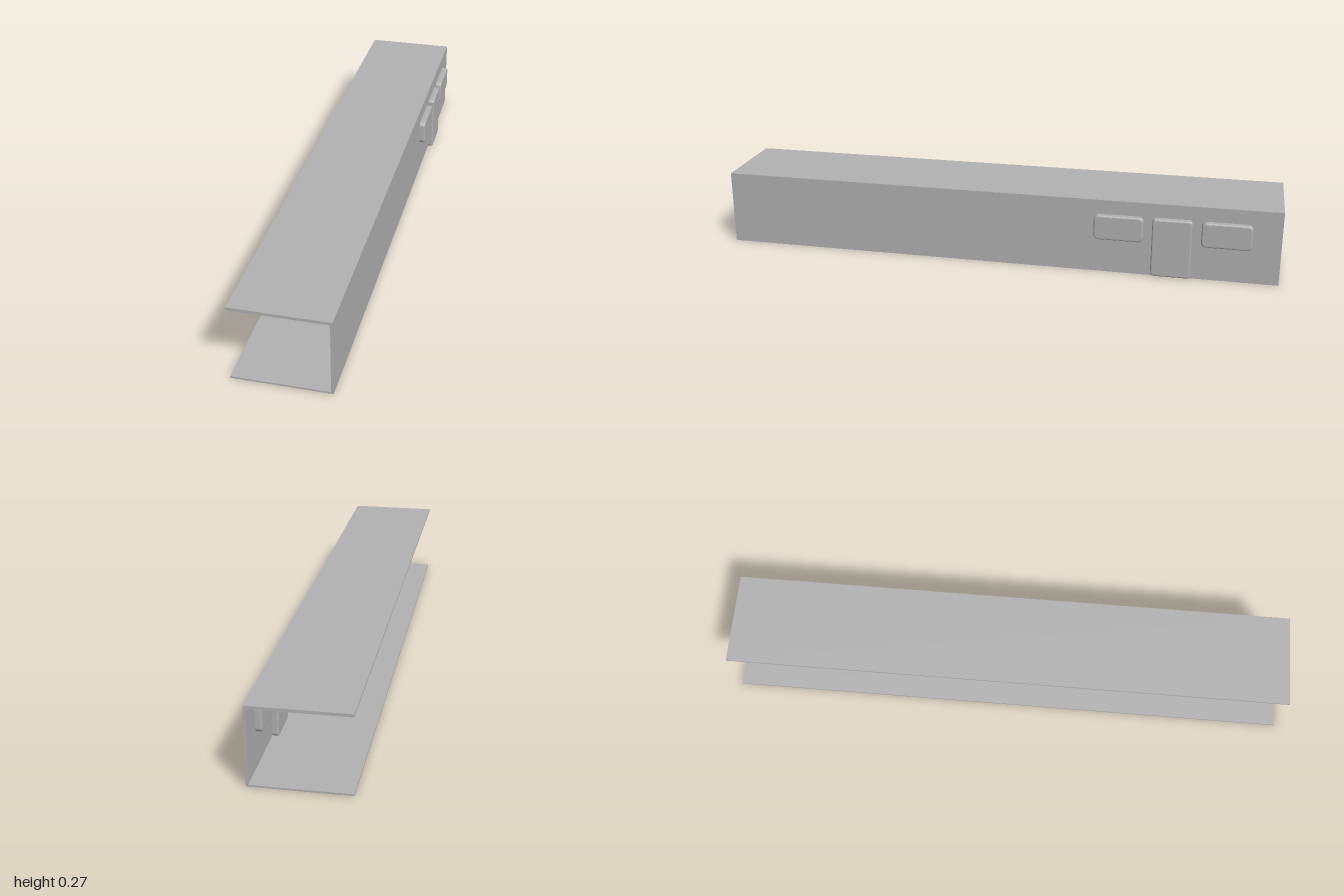
import * as THREE from 'three';

const grey = new THREE.MeshStandardMaterial({ color: 0xb2b2b2 });
grey.name = 'plain grey';

function add(parent, name, geometry, x = 0, y = 0, z = 0) {
  const mesh = new THREE.Mesh(geometry, grey);
  mesh.name = name;
  mesh.position.set(x, y, z);
  parent.add(mesh);
  return mesh;
}

// Elliptical rings [x, y, z, rx, rz] joined into a closed, smooth body
function loft(rings, sides = 18) {
  const pts = rings.map(r => new THREE.Vector3(r[0], r[1], r[2]));
  const up = new THREE.Vector3(0, 1, 0);
  const all = [rings[0], ...rings, rings[rings.length - 1]];
  const pos = [], idx = [];
  all.forEach((r, j) => {
    const i = THREE.MathUtils.clamp(j - 1, 0, rings.length - 1);
    const dir = pts[Math.min(i + 1, pts.length - 1)].clone().sub(pts[Math.max(i - 1, 0)]).normalize();
    const q = new THREE.Quaternion().setFromUnitVectors(up, dir);
    const s = j === 0 || j === all.length - 1 ? 0 : 1;
    for (let k = 0; k < sides; k++) {
      const a = k / sides * Math.PI * 2;
      const p = new THREE.Vector3(Math.cos(a) * r[3] * s, 0, Math.sin(a) * r[4] * s).applyQuaternion(q).add(pts[i]);
      pos.push(p.x, p.y, p.z);
      if (j < all.length - 1) {
        const n = (k + 1) % sides, b = j * sides;
        idx.push(b + k, b + sides + k, b + n, b + n, b + sides + k, b + sides + n);
      }
    }
  });
  const g = new THREE.BufferGeometry();
  g.setAttribute('position', new THREE.Float32BufferAttribute(pos, 3));
  g.setIndex(idx);
  g.computeVertexNormals();
  return g;
}

function ball(rx, ry, rz) {
  return new THREE.SphereGeometry(1, 18, 12).scale(rx, ry, rz);
}

// C-shaped section of floor, wall and roof, run along the full length
function shellGeometry() {
  const s = new THREE.Shape();
  [[-0.173, 0], [0.151, 0], [0.151, 0.266], [-0.172, 0.266], [-0.173, 0.264], [-0.173, 0.258], [-0.172, 0.256],
    [0.14, 0.256], [0.143, 0.253], [0.143, 0.008], [0.141, 0.006], [-0.173, 0.006]]
    .forEach(([x, y], i) => (i ? s.lineTo(x, y) : s.moveTo(x, y)));
  return new THREE.ExtrudeGeometry(s, { depth: 2, bevelEnabled: false }).translate(0, 0, -1);
}

// Rounded slab standing in the wall, with softened edges on both faces
function panelGeometry(width, height, radius) {
  const b = 0.006, w = width / 2 - b, h = height / 2 - b, r = radius - b;
  const s = new THREE.Shape();
  s.moveTo(-w + r, -h);
  s.lineTo(w - r, -h).absarc(w - r, -h + r, r, -Math.PI / 2, 0);
  s.lineTo(w, h - r).absarc(w - r, h - r, r, 0, Math.PI / 2);
  s.lineTo(-w + r, h).absarc(-w + r, h - r, r, Math.PI / 2, Math.PI);
  s.lineTo(-w, -h + r).absarc(-w + r, -h + r, r, Math.PI, Math.PI * 1.5);
  const g = new THREE.ExtrudeGeometry(s, {
    depth: 0.05 - 2 * b, bevelThickness: b, bevelSize: b, bevelSegments: 3, curveSegments: 6
  });
  return g.translate(0, 0, -0.025 + b).rotateY(Math.PI / 2);
}

// Standing figure with both hands held in front of the waist
function figure() {
  const g = new THREE.Group();
  g.name = 'standingFigure';

  add(g, 'shirt', loft([
    [-0.016, 0.093, 0, 0.016, 0.011], [-0.016, 0.098, 0, 0.0175, 0.012], [-0.016, 0.112, 0.001, 0.017, 0.0115],
    [-0.015, 0.13, 0.001, 0.02, 0.013], [-0.014, 0.144, 0, 0.023, 0.013], [-0.014, 0.152, -0.001, 0.021, 0.011],
    [-0.014, 0.157, -0.001, 0.01, 0.008], [-0.014, 0.159, -0.001, 0.006, 0.006]]));
  add(g, 'collar', new THREE.TorusGeometry(0.0065, 0.002, 8, 18).rotateX(Math.PI / 2), -0.014, 0.157, 0);
  add(g, 'hips', loft([
    [-0.016, 0.078, 0, 0.013, 0.01], [-0.016, 0.086, 0, 0.0165, 0.0115], [-0.016, 0.1, 0, 0.0155, 0.011]]));

  // Head
  add(g, 'neck', new THREE.CylinderGeometry(0.005, 0.0055, 0.012, 14), -0.014, 0.16, 0);
  add(g, 'head', loft([
    [-0.015, 0.158, 0.004, 0.004, 0.004], [-0.015, 0.161, 0.003, 0.007, 0.008], [-0.015, 0.169, 0.002, 0.0088, 0.0105],
    [-0.015, 0.177, 0.001, 0.009, 0.011], [-0.015, 0.182, 0.001, 0.0065, 0.008], [-0.015, 0.184, 0.001, 0.003, 0.004]]));
  add(g, 'hair', ball(0.0098, 0.008, 0.011), -0.015, 0.176, -0.001);
  add(g, 'nose', ball(0.0015, 0.003, 0.002), -0.015, 0.169, 0.013);

  for (const side of [-1, 1]) {
    const label = side > 0 ? 'left' : 'right';
    const x = d => -0.014 + side * d;
    add(g, label + 'Ear', ball(0.0015, 0.003, 0.002), -0.015 + side * 0.0092, 0.169, 0);

    // Arms
    add(g, label + 'Shoulder', ball(0.008, 0.008, 0.008), x(0.019), 0.146, -0.001);
    add(g, label + 'UpperArm', loft([
      [x(0.02), 0.148, -0.001, 0.0075, 0.0075], [x(0.0235), 0.133, -0.002, 0.0068, 0.0068],
      [x(0.0255), 0.118, 0, 0.0055, 0.0055]], 12));
    add(g, label + 'Elbow', ball(0.006, 0.006, 0.006), x(0.0255), 0.118, 0);
    add(g, label + 'Forearm', loft([
      [x(0.0255), 0.118, 0, 0.0058, 0.0058], [x(0.021), 0.12, 0.011, 0.005, 0.005],
      [x(0.014), 0.122, 0.021, 0.0038, 0.0038]], 12));
    add(g, label + 'Hand', ball(0.0055, 0.0045, 0.006), x(0.011), 0.122, 0.024);
  }

  // Legs: one straight, one set slightly out and forward
  const legs = [
    ['right', [-0.023, 0.09, 0], [-0.024, 0.05, 0.001], [-0.017, 0.012, -0.003]],
    ['left', [-0.009, 0.09, 0], [0.002, 0.053, 0.006], [0.009, 0.012, 0.001]]
  ];
  for (const [label, hip, knee, ankle] of legs) {
    const mid = (a, b, t) => a.map((v, i) => v + (b[i] - v) * t);
    add(g, label + 'Leg', loft([
      [...ankle, 0.005, 0.0058], [...mid(ankle, knee, 0.6), 0.0065, 0.0075], [...knee, 0.0065, 0.007],
      [...mid(knee, hip, 0.55), 0.0085, 0.0095], [...hip, 0.0095, 0.0105]]));
    add(g, label + 'Shoe', ball(0.0055, 0.005, 0.0135), ankle[0] + 0.001, 0.0105, ankle[2] + 0.007);
    add(g, label + 'Sole', new THREE.CylinderGeometry(1, 1, 0.003, 18).scale(0.0055, 1, 0.0135),
      ankle[0] + 0.001, 0.0075, ankle[2] + 0.007);
  }
  return g;
}

export function createModel() {
  const model = new THREE.Group();
  model.name = 'cabinSection';
  add(model, 'floorWallRoof', shellGeometry());
  add(model, 'door', panelGeometry(0.137, 0.211, 0.012), 0.147, 0.1105, -0.63);
  for (const z of [-0.445, -0.816]) {
    add(model, 'window', panelGeometry(0.172, 0.089, 0.017), 0.147, 0.1705, z);
  }
  const person = figure();
  person.position.z = -0.01;
  model.add(person);
  return model;
}
